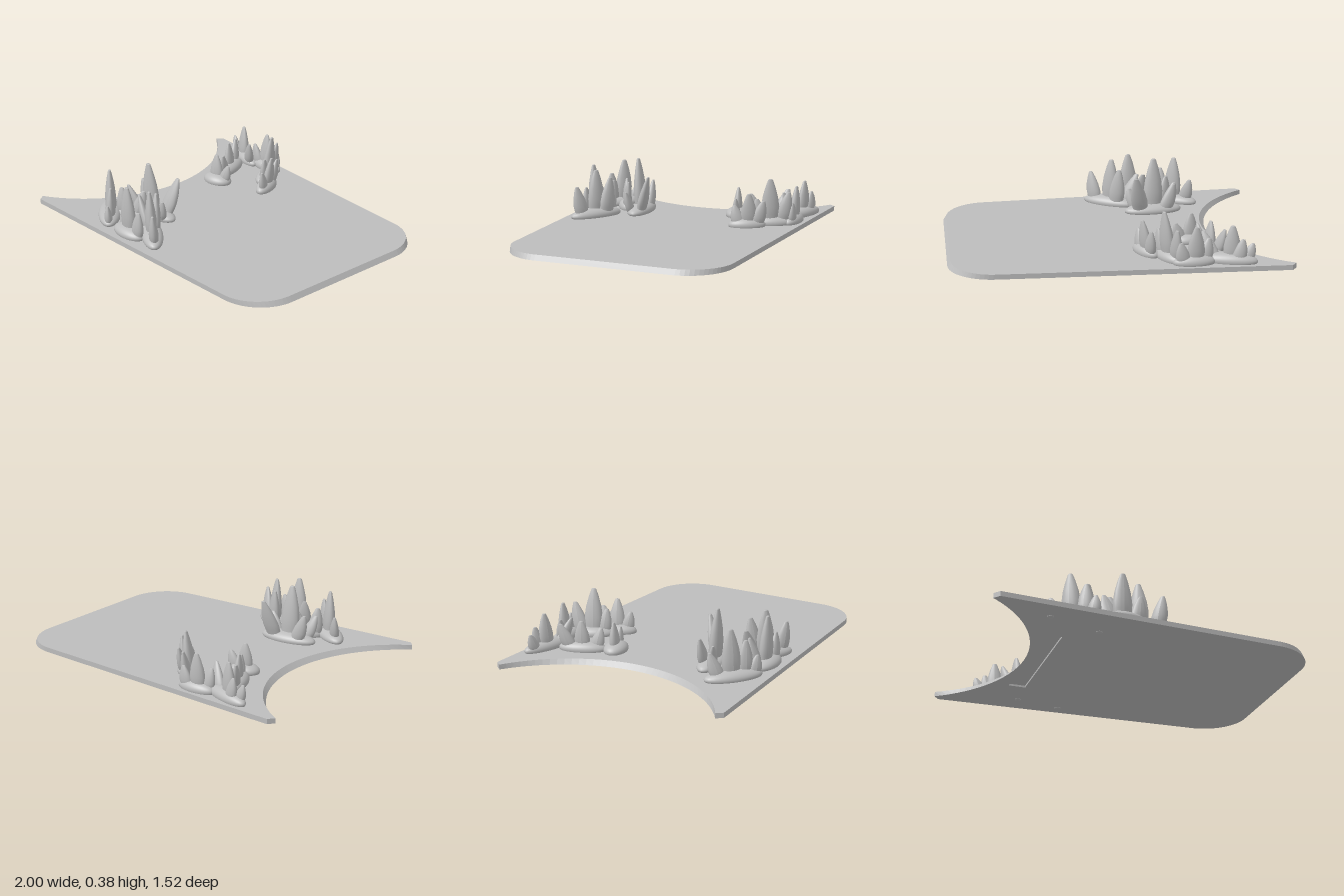
import * as THREE from 'three';

const TOP = 0.036, BOTTOM = 0.006;

// Outline of the slab; both levels share the same point count so they can be bridged
function outline(apexX, endX) {
  const pts = [], R = 0.27, N = 16, tipX = -1, tipZ = 0.725;
  const s = apexX - tipX, rad = (s * s + tipZ * tipZ) / (2 * s);
  const cx = apexX - rad, a = Math.asin(tipZ / rad);
  for (let i = 0; i <= 40; i++) {                       // concave arc
    const t = a - (2 * a * i) / 40;
    pts.push(new THREE.Vector2(cx + rad * Math.cos(t), rad * Math.sin(t)));
  }
  pts.push(new THREE.Vector2(-0.97, -0.762));
  for (const side of [-1, 1]) {                         // rounded corners
    for (let i = 0; i <= N; i++) {
      const t = (Math.PI / 2) * (side < 0 ? 1 - i / N : i / N);
      pts.push(new THREE.Vector2(0.72 + (endX - 0.72) * Math.cos(t), side * (0.415 + R * Math.sin(t))));
    }
  }
  pts.push(new THREE.Vector2(-0.97, 0.762));
  return pts;
}

// Collects triangles, each turned to agree with a wanted normal
function facetBuilder() {
  const pos = [];
  const tri = (a, b, c, n) => {
    const d = new THREE.Vector3().subVectors(b, a).cross(new THREE.Vector3().subVectors(c, a)).dot(n);
    for (const p of d >= 0 ? [a, b, c] : [a, c, b]) pos.push(p.x, p.y, p.z);
  };
  const cap = (pts, holes, y, up) => {
    const all = [...pts, ...holes.flat()].map(p => new THREE.Vector3(p.x, y, p.y));
    for (const [a, b, c] of THREE.ShapeUtils.triangulateShape(pts, holes))
      tri(all[a], all[b], all[c], new THREE.Vector3(0, up, 0));
  };
  // the loops run with x, z such that (dz, -dx) points out of the outline
  const wall = (low, lowY, high, highY, flip) => {
    const sign = (THREE.ShapeUtils.area(low) > 0 ? 1 : -1) * flip;
    low.forEach((p, i) => {
      const j = (i + 1) % low.length, q = low[j];
      const n = new THREE.Vector3(q.y - p.y, 0, p.x - q.x).multiplyScalar(sign);
      const A = new THREE.Vector3(p.x, lowY, p.y), B = new THREE.Vector3(q.x, lowY, q.y);
      const C = new THREE.Vector3(high[j].x, highY, high[j].y), D = new THREE.Vector3(high[i].x, highY, high[i].y);
      tri(A, B, C, n);
      tri(A, C, D, n);
    });
  };
  const build = () => {
    const g = new THREE.BufferGeometry();
    g.setAttribute('position', new THREE.Float32BufferAttribute(pos, 3));
    g.computeVertexNormals();
    return g;
  };
  return { cap, wall, build };
}

// Slab with sloped ends and a shallow slot underneath
function slabGeometry() {
  const top = outline(-0.59, 0.98), low = outline(-0.62, 1);
  const slot = [[-0.605, -0.4], [-0.5, -0.4], [-0.5, 0.38], [-0.605, 0.38]].map(p => new THREE.Vector2(...p));
  const f = facetBuilder();
  f.cap(top, [], TOP, 1);
  f.cap(low, [slot], BOTTOM, -1);
  f.wall(low, BOTTOM, top, TOP, 1);
  f.wall(slot, BOTTOM, slot, 0.018, -1);
  f.cap(slot, [], 0.018, -1);
  return f.build();
}

// Mounds: [x, z, half length, half width, angle], spikes: [x, z, tip x, tip z, height]
const frontRocks = [
  { mound: [-0.34, 0.345, 0.185, 0.075, -5], spikes: [
    [-0.34, 0.35, -0.345, 0.37, 0.378], [-0.26, 0.32, -0.215, 0.245, 0.285],
    [-0.41, 0.32, -0.47, 0.32, 0.22], [-0.43, 0.38, -0.49, 0.42, 0.2], [-0.24, 0.37, -0.19, 0.39, 0.18]] },
  { mound: [-0.5, 0.56, 0.18, 0.07, 38], spikes: [
    [-0.5, 0.55, -0.51, 0.545, 0.33], [-0.57, 0.51, -0.6, 0.46, 0.2],
    [-0.44, 0.6, -0.43, 0.6, 0.25], [-0.4, 0.64, -0.39, 0.655, 0.16]] },
  { mound: [-0.39, 0.475, 0.1, 0.05, -30], spikes: [
    [-0.36, 0.46, -0.32, 0.43, 0.22], [-0.43, 0.49, -0.45, 0.5, 0.22]] },
  { mound: [-0.21, 0.625, 0.13, 0.07, 0], spikes: [
    [-0.22, 0.62, -0.22, 0.63, 0.34], [-0.28, 0.61, -0.31, 0.56, 0.22], [-0.13, 0.63, -0.11, 0.63, 0.21]] },
  { mound: [-0.085, 0.55, 0.18, 0.065, 33], spikes: [
    [-0.09, 0.55, -0.1, 0.555, 0.33], [-0.17, 0.51, -0.26, 0.51, 0.24],
    [-0.12, 0.5, -0.14, 0.475, 0.28], [0, 0.6, 0.025, 0.63, 0.235]] },
];
const rearRocks = [
  { mound: [-0.62, -0.655, 0.165, 0.055, 18], spikes: [
    [-0.63, -0.65, -0.635, -0.66, 0.255], [-0.71, -0.67, -0.75, -0.68, 0.15],
    [-0.66, -0.68, -0.69, -0.69, 0.18], [-0.54, -0.62, -0.48, -0.57, 0.2]] },
  { mound: [-0.41, -0.66, 0.125, 0.055, 0], spikes: [
    [-0.42, -0.66, -0.42, -0.675, 0.26], [-0.47, -0.65, -0.5, -0.64, 0.18], [-0.35, -0.67, -0.33, -0.68, 0.17]] },
  { mound: [-0.285, -0.555, 0.13, 0.06, 65], spikes: [
    [-0.28, -0.55, -0.25, -0.56, 0.325], [-0.31, -0.61, -0.31, -0.66, 0.24], [-0.25, -0.5, -0.23, -0.48, 0.2]] },
  { mound: [-0.165, -0.44, 0.115, 0.055, 65], spikes: [
    [-0.17, -0.45, -0.14, -0.46, 0.245], [-0.18, -0.49, -0.18, -0.54, 0.2], [-0.14, -0.4, -0.13, -0.37, 0.17]] },
  { mound: [-0.54, -0.45, 0.145, 0.06, 68], spikes: [
    [-0.54, -0.45, -0.55, -0.45, 0.22], [-0.57, -0.51, -0.61, -0.56, 0.2], [-0.51, -0.38, -0.49, -0.35, 0.175]] },
  { mound: [-0.45, -0.27, 0.1, 0.07, -10], spikes: [
    [-0.46, -0.27, -0.465, -0.275, 0.215], [-0.41, -0.28, -0.37, -0.29, 0.16]] },
];

// Flattened, leaning spike with a blunt tip
function spikeGeometry([x, z, tipX, tipZ, h], angle) {
  const r = 0.026 + 0.095 * h;
  const profile = [[0.8, 0], [0.97, 0.25], [1, 0.4], [0.84, 0.62], [0.55, 0.83], [0.27, 0.985], [0.2, 1], [0, 1]]
    .map(([a, b]) => new THREE.Vector2(a * r, b));
  const g = new THREE.LatheGeometry(profile, 18);
  g.scale(1, 1, 0.6).rotateY(-angle);
  const p = g.attributes.position;
  for (let i = 0; i < p.count; i++) {
    const t = p.getY(i);
    p.setXYZ(i, p.getX(i) + x + (tipX - x) * t, 0.03 + (h - 0.03) * t, p.getZ(i) + z + (tipZ - z) * t);
  }
  g.computeVertexNormals();
  return g;
}

export function createModel() {
  const group = new THREE.Group();
  const grey = new THREE.MeshStandardMaterial({ color: 0xbcbcbc });
  grey.name = 'stone grey';
  const add = (parent, geometry, name) => {
    const mesh = new THREE.Mesh(geometry, grey);
    mesh.name = name;
    parent.add(mesh);
    return mesh;
  };

  add(group, slabGeometry(), 'slab');

  // Rock clusters
  for (const [name, rocks] of [['frontRocks', frontRocks], ['rearRocks', rearRocks]]) {
    const cluster = new THREE.Group();
    cluster.name = name;
    group.add(cluster);
    for (const { mound: [x, z, a, b, deg], spikes } of rocks) {
      const angle = THREE.MathUtils.degToRad(deg);
      const mound = add(cluster, new THREE.SphereGeometry(1, 32, 12, 0, Math.PI * 2, 0, Math.PI * 0.62), 'mound');
      mound.scale.set(a, 0.045, b);
      mound.rotation.y = -angle;
      mound.position.set(x, 0.048, z);
      for (const s of spikes) add(cluster, spikeGeometry(s, angle), 'spike');
    }
  }

  // Small studs under the slab
  for (const [x, z] of [[-0.32, 0.51], [-0.64, 0.61], [-0.21, -0.65], [-0.49, -0.6]]) {
    const stud = add(group, new THREE.SphereGeometry(0.02, 16, 8), 'stud');
    stud.scale.y = 0.3;
    stud.position.set(x, BOTTOM, z);
  }
  return group;
}
